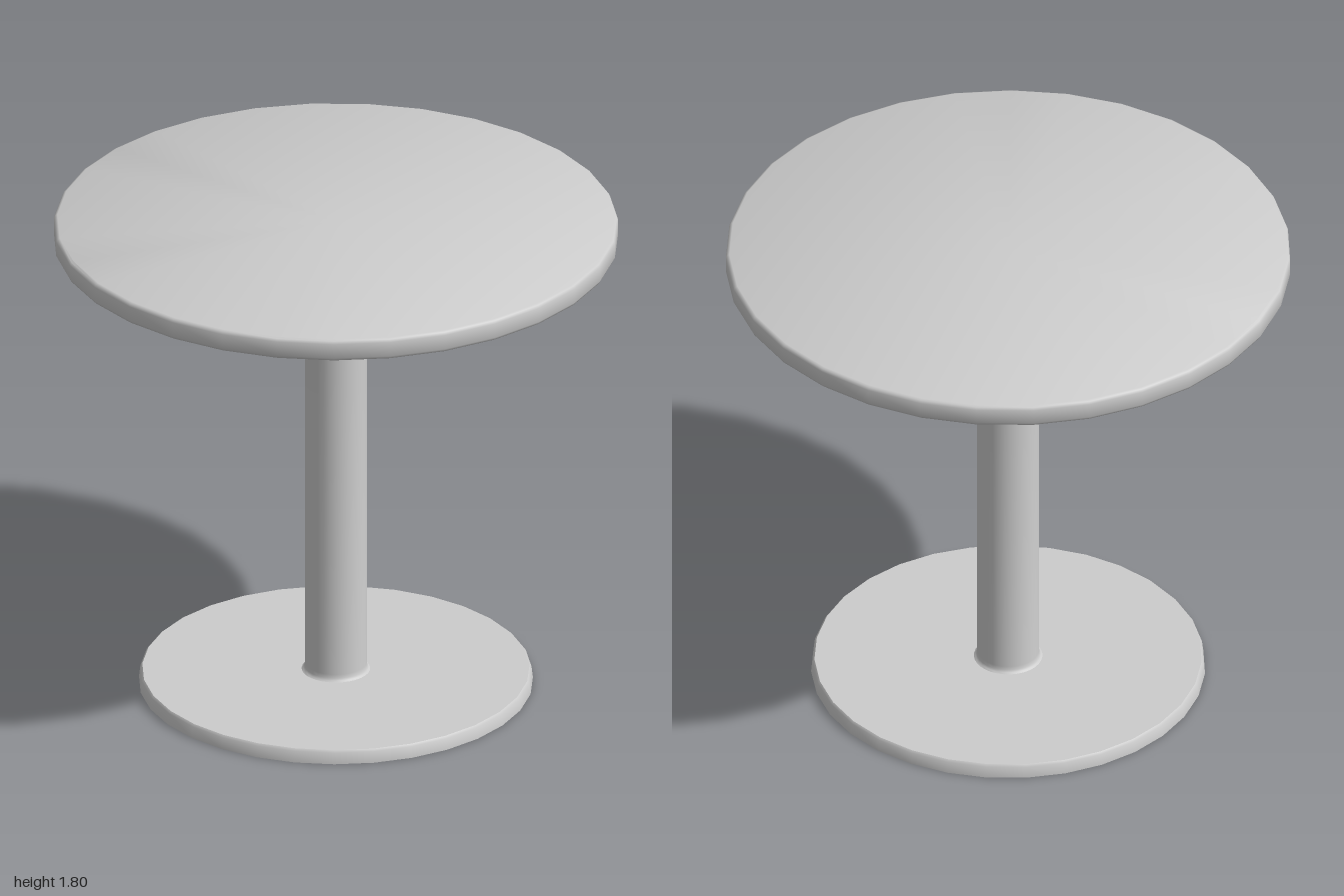
import * as THREE from 'three';
import { toCreasedNormals } from 'three/addons/utils/BufferGeometryUtils.js';

const SIDES = 31;

// Revolve a [radius, height] profile, listed from bottom to top, with a flat side facing +x.
function turned(name, profile, material) {
  const points = profile.map(([r, y]) => new THREE.Vector2(r, y));
  const lathe = new THREE.LatheGeometry(points, SIDES, Math.PI / 2 + Math.PI / SIDES);
  const mesh = new THREE.Mesh(toCreasedNormals(lathe, 0.7), material);
  mesh.name = name;
  return mesh;
}

export function createModel() {
  const table = new THREE.Group();
  table.name = 'pedestalTable';
  const grey = new THREE.MeshStandardMaterial({ color: 0xcccccc });
  grey.name = 'lightGrey';

  // Round floor plate with slightly tapered rim
  table.add(turned('base', [[0, 0], [0.7, 0], [0.695, 0.042], [0.688, 0.05], [0, 0.05]], grey));

  // Column with a small flare where it meets the base
  table.add(turned('column', [
    [0.122, 0.05], [0.116, 0.054], [0.112, 0.062], [0.11, 0.075], [0.11, 1.72],
  ], grey));

  // Round top with softened edges
  table.add(turned('tableTop', [
    [0, 1.718], [0.99, 1.718], [0.998, 1.722], [1.003, 1.732],
    [1.003, 1.786], [0.998, 1.796], [0.99, 1.8], [0, 1.8],
  ], grey));

  return table;
}
